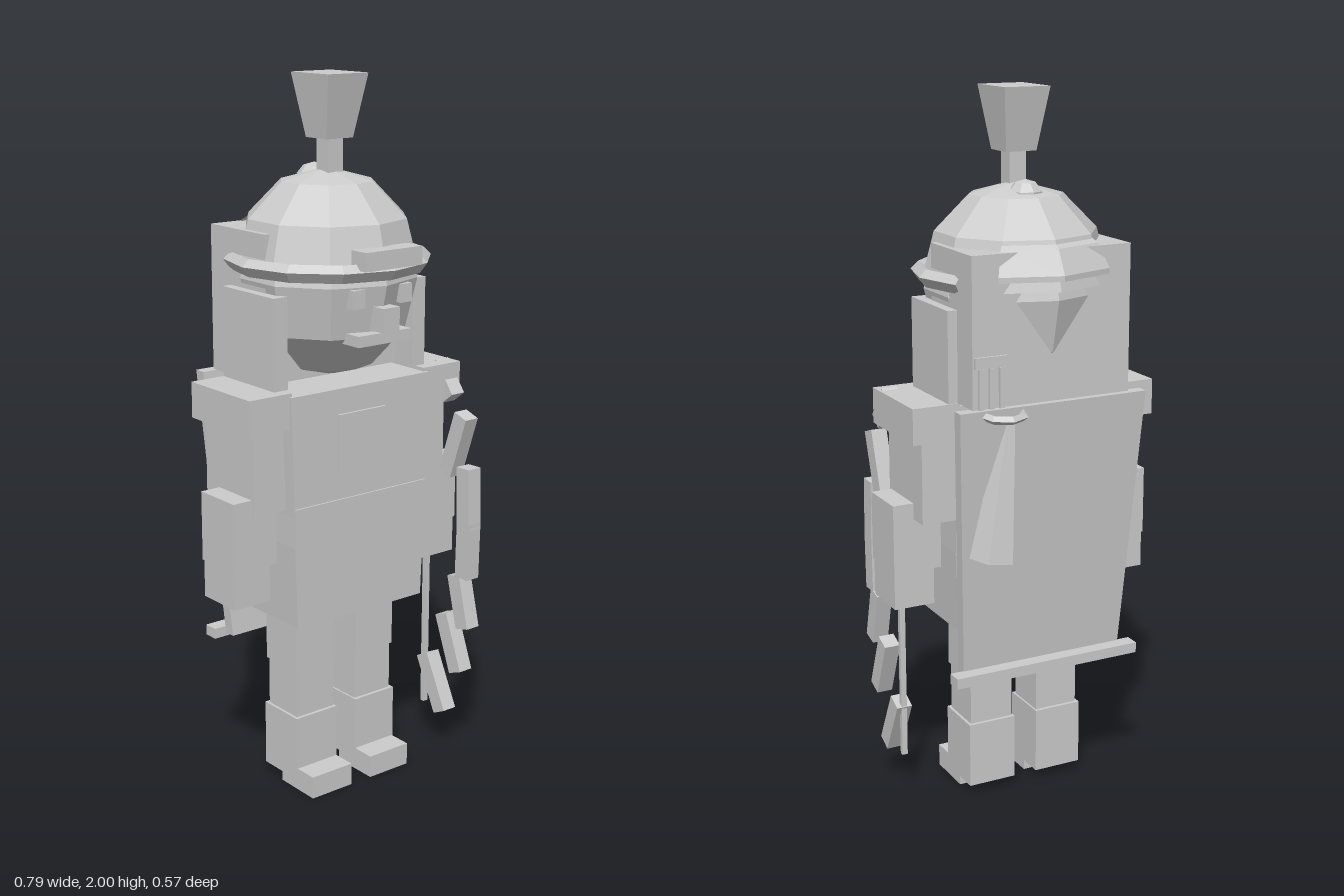
import * as THREE from 'three';

const grey = new THREE.MeshStandardMaterial({ color: 0xcccccc, flatShading: true, side: THREE.DoubleSide });
grey.name = 'plain grey';

export function createModel() {
  const root = new THREE.Group();
  root.name = 'toySoldier';

  const add = (name, geometry, x = 0, y = 0, z = 0) => {
    const mesh = new THREE.Mesh(geometry, grey);
    mesh.name = name;
    mesh.position.set(x, y, z);
    root.add(mesh);
    return mesh;
  };

  // Box given by its limits on each axis
  const box = (name, x0, x1, y0, y1, z0, z1) =>
    add(name, new THREE.BoxGeometry(x1 - x0, y1 - y0, z1 - z0),
      (x0 + x1) / 2, (y0 + y1) / 2, (z0 + z1) / 2);

  // Box whose bottom is scaled in x and z and shifted in z
  const taper = (name, w, h, d, sx, sz, shift, x, y, z) => {
    const g = new THREE.BoxGeometry(w, h, d);
    const p = g.attributes.position;
    for (let i = 0; i < p.count; i++) {
      if (p.getY(i) < 0) p.setXYZ(i, p.getX(i) * sx, p.getY(i), p.getZ(i) * sz + shift);
    }
    return add(name, g, x, y, z);
  };

  // Mirrored pair of boxes
  const pair = (name, x0, x1, y0, y1, z0, z1) => {
    box(name + 'Left', x0, x1, y0, y1, z0, z1);
    box(name + 'Right', -x1, -x0, y0, y1, z0, z1);
  };

  // Legs and feet
  pair('thigh', 0.04, 0.175, 0.36, 0.56, -0.06, 0.08);
  pair('knee', 0.04, 0.17, 0.22, 0.36, -0.055, 0.075);
  pair('shin', 0.035, 0.178, 0.03, 0.22, -0.065, 0.085);
  pair('foot', 0.035, 0.175, 0, 0.065, 0.01, 0.155);

  // Tunic
  taper('torso', 0.48, 0.4, 0.27, 0.95, 1, 0, 0, 0.98, 0.015);
  box('belt', -0.23, 0.23, 0.76, 0.87, -0.095, 0.155);
  taper('skirt', 0.46, 0.25, 0.24, 0.96, 1, 0, 0, 0.65, 0.03);
  box('chestPatch', -0.085, 0.08, 0.94, 1.11, 0.145, 0.158);

  // Arms
  pair('shoulder', 0.23, 0.367, 1.09, 1.19, -0.128, 0.14);
  pair('upperArm', 0.23, 0.335, 0.86, 1.1, -0.11, 0.11);
  pair('forearm', 0.255, 0.395, 0.71, 0.905, -0.05, 0.1);
  pair('hand', 0.275, 0.393, 0.605, 0.71, -0.045, 0.095);

  // Cape leaning in towards the legs, with its hem bar
  taper('cape', 0.56, 0.77, 0.035, 0.87, 1, 0.07, 0, 0.805, -0.217);
  box('capeHem', -0.283, 0.283, 0.41, 0.44, -0.207, -0.163);

  // Head, hair block and side locks
  const head = add('head', new THREE.SphereGeometry(0.25, 10, 6), 0, 1.465, 0);
  head.scale.y = 1.14;
  head.rotation.y = Math.PI / 2;
  box('hair', -0.235, 0.235, 1.19, 1.595, -0.215, 0.033);
  pair('sideLock', 0.217, 0.262, 1.19, 1.44, -0.125, 0.105);

  // Face
  pair('eye', 0.06, 0.1, 1.41, 1.46, 0.18, 0.235);
  box('nose', -0.028, 0.028, 1.345, 1.41, 0.2, 0.27);
  box('mouth', -0.09, 0.09, 1.31, 1.34, 0.17, 0.245);

  // Helmet dome
  const dome = add('helmetDome', new THREE.SphereGeometry(0.257, 10, 3, 0, Math.PI * 2, 0, Math.PI / 2), 0, 1.49, -0.005);
  dome.scale.y = 1.02;
  dome.rotation.y = Math.PI / 2;

  // Brim arc open at the back, with a wedge cross-section
  const brimProfile = [[0.235, 1.485], [0.265, 1.482], [0.285, 1.51], [0.265, 1.53], [0.235, 1.515], [0.235, 1.485]]
    .map(([r, y]) => new THREE.Vector2(r, y));
  add('helmetBrim', new THREE.LatheGeometry(brimProfile, 8, -Math.PI * 2 / 3, Math.PI * 4 / 3));

  // Flared neck guard
  const guardProfile = [[0.215, 1.54], [0.28, 1.52], [0.28, 1.535], [0.245, 1.6], [0.215, 1.62], [0.215, 1.54]]
    .map(([r, y]) => new THREE.Vector2(r, y));
  add('neckGuard', new THREE.LatheGeometry(guardProfile, 2, Math.PI * 0.8, Math.PI * 0.4));

  box('helmetBadge', -0.095, 0.095, 1.515, 1.565, 0.22, 0.28);
  const knob = add('helmetKnob', new THREE.SphereGeometry(0.05, 8, 5), 0, 1.715, -0.06);
  knob.scale.y = 0.9;

  // Plume
  box('plumeStem', -0.025, 0.025, 1.7, 1.84, -0.016, 0.034);
  taper('plume', 0.135, 0.17, 0.16, 0.67, 0.55, 0, 0, 1.915, 0.007);

  // Horn hanging at the back, its ring and clasp
  const horn = add('horn', new THREE.CylinderGeometry(0.02, 0.062, 0.38, 5), 0.16, 0.965, -0.225);
  horn.rotation.set(0.06, 0, 0.16);
  const ring = add('hornRing', new THREE.TorusGeometry(0.062, 0.012, 4, 8), 0.15, 1.175, -0.215);
  ring.rotation.x = Math.PI / 2 - 0.12;
  for (let i = 0; i < 3; i++) {
    const x = 0.145 + i * 0.03;
    box('claspBar', x, x + 0.014, 1.19, 1.3, -0.224, -0.214);
  }
  box('claspTop', 0.135, 0.23, 1.3, 1.33, -0.222, -0.212);

  // Segmented strap hanging in front of the left arm: end points as [z, y]
  const links = [
    [0.08, 1.18, 0.15, 1.09], [0.205, 1.05, 0.145, 0.87], [0.22, 0.9, 0.226, 0.72],
    [0.226, 0.74, 0.222, 0.57], [0.19, 0.57, 0.23, 0.415], [0.14, 0.435, 0.205, 0.27], [0.06, 0.28, 0.14, 0.12],
  ];
  for (const [z0, y0, z1, y1] of links) {
    const length = Math.hypot(z1 - z0, y1 - y0);
    const link = add('strapLink', new THREE.BoxGeometry(0.046, length, 0.05), 0.335, (y0 + y1) / 2, (z0 + z1) / 2);
    link.rotation.x = Math.atan2(z0 - z1, y0 - y1);
  }
  box('strapRod', 0.327, 0.343, 0.12, 0.62, 0.04, 0.054);

  return root;
}
